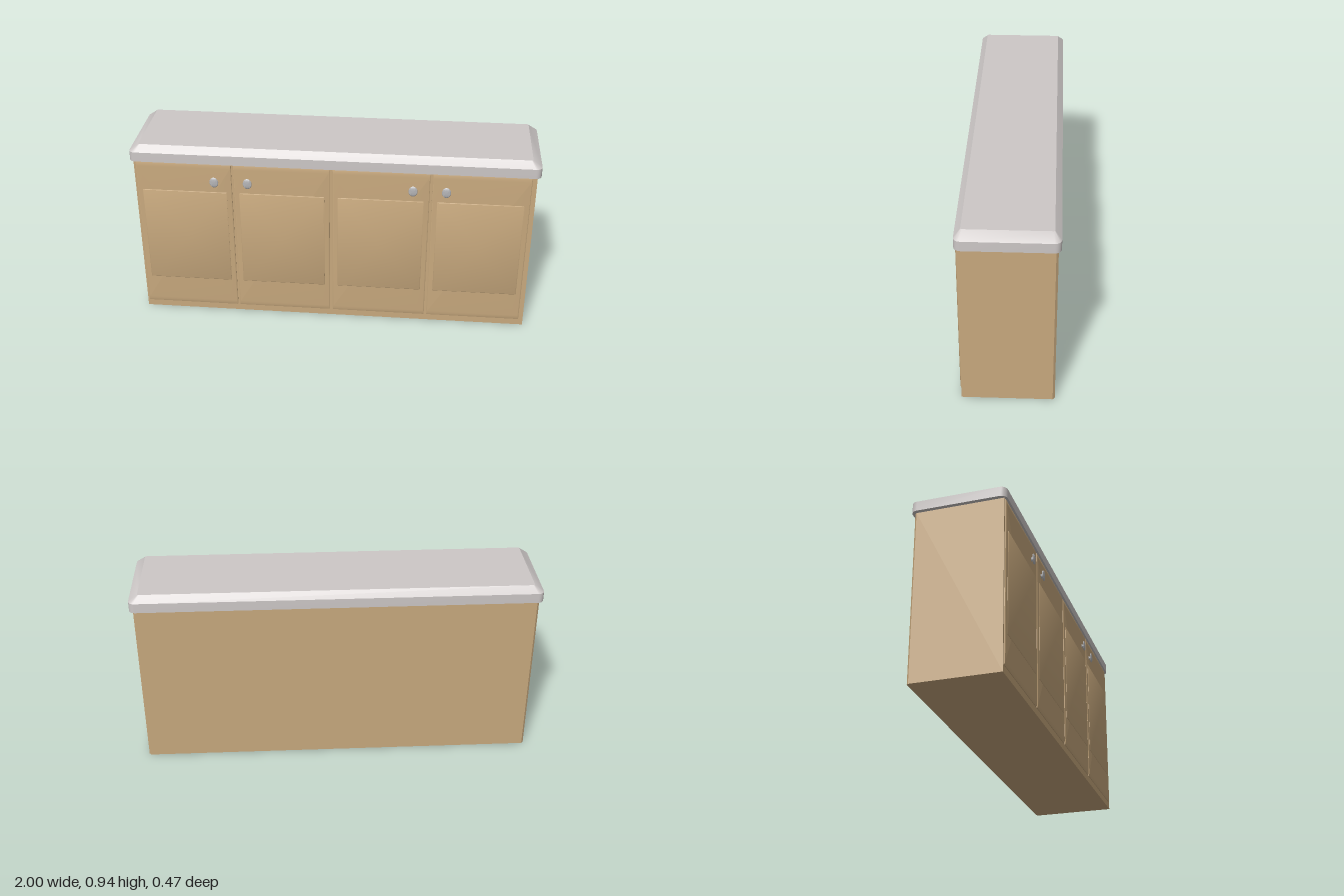
import * as THREE from 'three';
import { toCreasedNormals } from 'three/addons/utils/BufferGeometryUtils.js';

const wood = new THREE.MeshStandardMaterial({ name: 'wood', color: 0xc8a97e });
const stone = new THREE.MeshStandardMaterial({ name: 'counter stone', color: 0xcdc8c7 });
const metal = new THREE.MeshStandardMaterial({ name: 'knob metal', color: 0xb6b6b8 });

// Rounded rectangle loop at height y, counter-clockwise from above
function ring(hx, hz, r, y, steps = 5) {
  const points = [];
  const corners = [[1, 1], [-1, 1], [-1, -1], [1, -1]];
  corners.forEach(([sx, sz], c) => {
    for (let i = 0; i <= steps; i++) {
      const a = (c + i / steps) * Math.PI / 2;
      points.push([sx * (hx - r) + r * Math.cos(a), y, -sz * (hz - r) - r * Math.sin(a)]);
    }
  });
  return points;
}

// Closed solid through a stack of loops, with flat end caps
function loft(rings) {
  const n = rings[0].length;
  const pos = rings.flat(2);
  const index = [];
  for (let k = 0; k < rings.length - 1; k++) {
    for (let i = 0; i < n; i++) {
      const j = (i + 1) % n;
      const a = k * n + i, b = k * n + j;
      index.push(a, b, b + n, a, b + n, a + n);
    }
  }
  const base = rings.length * n;
  pos.push(0, rings[0][0][1], 0, 0, rings[rings.length - 1][0][1], 0);
  for (let i = 0; i < n; i++) {
    const j = (i + 1) % n;
    index.push(base, j, i, base + 1, base - n + i, base - n + j);
  }
  const geo = new THREE.BufferGeometry();
  geo.setAttribute('position', new THREE.Float32BufferAttribute(pos, 3));
  geo.setIndex(index);
  return toCreasedNormals(geo, 0.5);
}

function add(parent, name, geometry, material, x = 0, y = 0, z = 0) {
  const mesh = new THREE.Mesh(geometry, material);
  mesh.name = name;
  mesh.position.set(x, y, z);
  parent.add(mesh);
  return mesh;
}

// Bevelled plate facing +z; levels are [half width, half height, depth]
function plate(levels) {
  return loft(levels.map(([hx, hy, d]) => ring(hx, hy, 0.002, d, 1))).rotateX(Math.PI / 2);
}

export function createModel() {
  const model = new THREE.Group();
  model.name = 'sideboard cabinet';

  // Carcass with small chamfers on the back corners
  const footprint = new THREE.Shape([
    [-0.981, -0.212], [0.981, -0.212], [0.981, 0.212],
    [0.971, 0.222], [-0.971, 0.222], [-0.981, 0.212],
  ].map(([x, y]) => new THREE.Vector2(x, y)));
  const carcass = new THREE.ExtrudeGeometry(footprint, { depth: 0.86, bevelEnabled: false });
  add(model, 'carcass', carcass.rotateX(-Math.PI / 2), wood);

  // Countertop with rounded corners and a sloping rim
  const top = loft([
    ring(1, 0.23, 0.03, 0.86),
    ring(1, 0.23, 0.03, 0.909),
    ring(0.955, 0.2, 0.008, 0.942),
  ]);
  add(model, 'countertop', top, stone, 0, 0, -0.005);

  // Four doors, each with a softly bevelled edge and a slightly raised panel
  const doorGeometry = plate([
    [0.237, 0.412, 0], [0.237, 0.412, 0.003], [0.234, 0.402, 0.006], [0.231, 0.387, 0.007],
  ]);
  const panelGeometry = plate([
    [0.211, 0.258, 0], [0.211, 0.258, 0.001], [0.208, 0.255, 0.003],
  ]);
  [-0.735, -0.2515, 0.236, 0.7215].forEach((x, i) => {
    const door = new THREE.Group();
    door.name = 'door' + (i + 1);
    door.position.set(x, 0.447, 0.212);
    add(door, 'doorSlab', doorGeometry, wood);
    add(door, 'doorPanel', panelGeometry, wood, 0, 0, 0.0068);
    model.add(door);
  });

  // Oval knobs on flared stems
  const profile = [
    [0, 0], [0.014, 0], [0.009, 0.004], [0.009, 0.007], [0.016, 0.009],
    [0.026, 0.0105], [0.0275, 0.0125], [0.025, 0.0155], [0.015, 0.0175], [0, 0.018],
  ].map(([r, y]) => new THREE.Vector2(r, y));
  const knobGeometry = toCreasedNormals(
    new THREE.LatheGeometry(profile, 24).rotateX(Math.PI / 2).scale(0.8, 1, 1), 0.7);
  [-0.583, -0.418, 0.392, 0.553].forEach((x, i) => {
    add(model, 'knob' + (i + 1), knobGeometry, metal, x, 0.765, 0.218);
  });

  return model;
}
